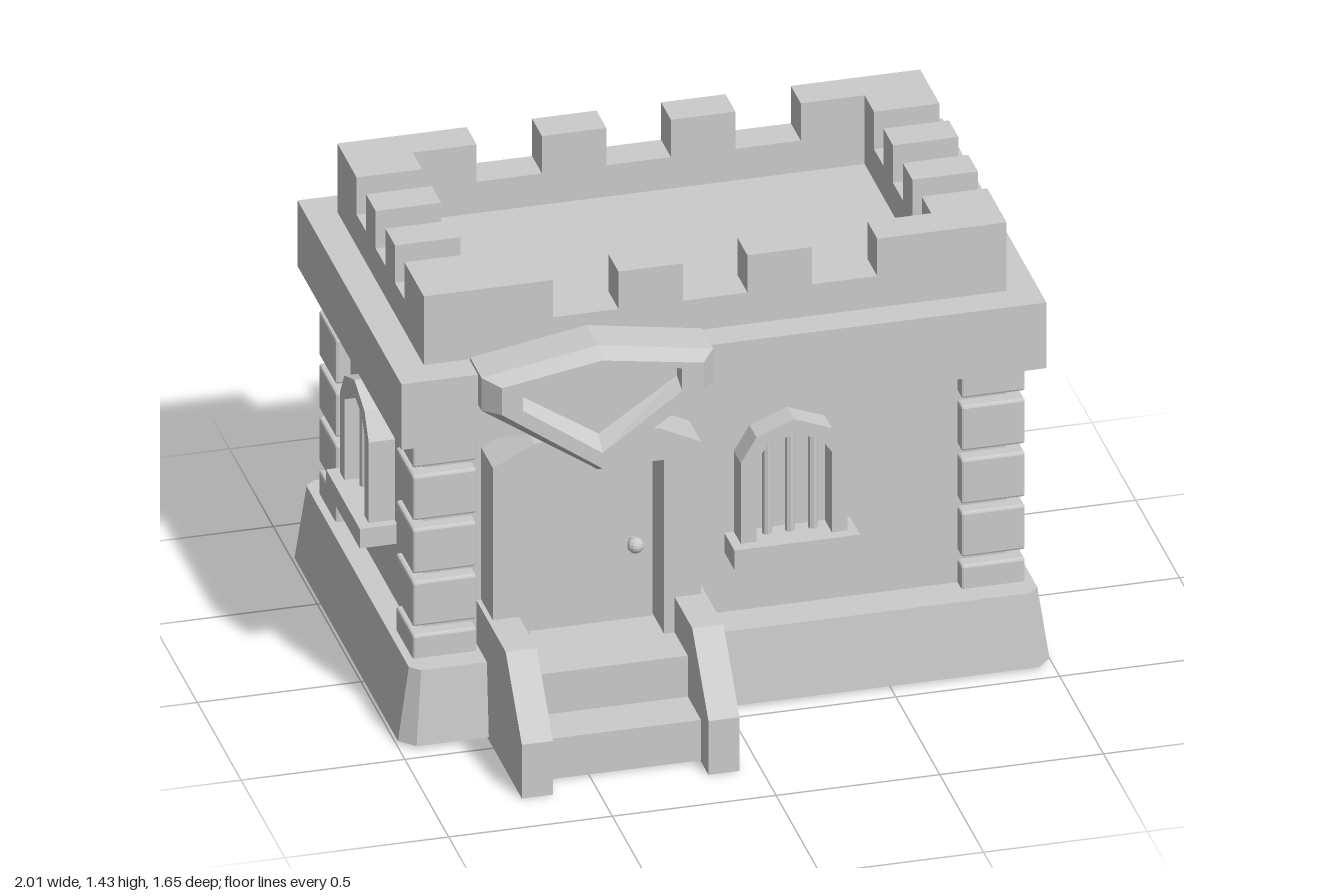
import * as THREE from 'three';
import { RoundedBoxGeometry } from 'three/addons/geometries/RoundedBoxGeometry.js';

const material = new THREE.MeshStandardMaterial({ color: 0xcccccc, flatShading: true });
const ZC = -0.187; // centre of the building in z

function add(parent, name, geometry, x = 0, y = 0, z = 0) {
  const mesh = new THREE.Mesh(geometry, material);
  mesh.name = name;
  mesh.position.set(x, y, z);
  parent.add(mesh);
  return mesh;
}

// Box given by its minimum and maximum corners
function box(parent, name, x0, x1, y0, y1, z0, z1) {
  return add(parent, name, new THREE.BoxGeometry(x1 - x0, y1 - y0, z1 - z0),
    (x0 + x1) / 2, (y0 + y1) / 2, (z0 + z1) / 2);
}

// Skin over counter-clockwise xy outlines placed at successive depths, capped at both ends
function loft(sections) {
  const pos = [];
  const rings = sections.map(({ pts, z }) => pts.map(([x, y]) => [x, y, z]));
  const tri = (a, b, c) => pos.push(...a, ...b, ...c);
  const n = rings[0].length;
  for (let r = 0; r < rings.length - 1; r++) {
    const a = rings[r], b = rings[r + 1];
    for (let i = 0; i < n; i++) {
      const j = (i + 1) % n;
      tri(a[i], a[j], b[j]);
      tri(a[i], b[j], b[i]);
    }
  }
  const first = rings[0], last = rings[rings.length - 1];
  for (let i = 1; i < n - 1; i++) {
    tri(first[0], first[i + 1], first[i]);
    tri(last[0], last[i], last[i + 1]);
  }
  const g = new THREE.BufferGeometry();
  g.setAttribute('position', new THREE.Float32BufferAttribute(pos, 3));
  g.computeVertexNormals();
  return g;
}

const polygon = (pts) => pts.map(([x, y]) => new THREE.Vector2(x, y));

function extrude(outline, hole, depth) {
  const shape = new THREE.Shape(polygon(outline));
  if (hole) shape.holes.push(new THREE.Path(polygon(hole)));
  return new THREE.ExtrudeGeometry(shape, { depth, bevelEnabled: false });
}

// Rectangle with cut corners
function cutRect(w, d, c) {
  return [[w, -d + c], [w, d - c], [w - c, d], [-w + c, d],
    [-w, d - c], [-w, -d + c], [-w + c, -d], [w - c, -d]];
}

// Upright outline with a five-point arched top
function arch(w, bottom, spring, w2, shoulder, top) {
  return [[-w, bottom], [w, bottom], [w, spring], [w2, shoulder],
    [0, top], [-w2, shoulder], [-w, spring]];
}

// Barred window; wall surface is at local z = 0
function makeWindow(name) {
  const g = new THREE.Group();
  g.name = name;
  add(g, 'windowFrame', extrude(
    arch(0.163, 0.48, 0.785, 0.115, 0.865, 0.91),
    arch(0.115, 0.5, 0.785, 0.08, 0.835, 0.86), 0.08));
  box(g, 'windowSill', -0.192, 0.192, 0.45, 0.515, -0.02, 0.115);
  for (const x of [-0.07, 0, 0.07]) {
    add(g, 'windowBar', new THREE.CylinderGeometry(0.015, 0.015, 0.36, 8), x, 0.67, 0.03);
  }
  return g;
}

// Shield outline relative to its centre line
function shieldOutline(w, shoulder, top, side, tip) {
  return [[0, tip], [w, side], [w, shoulder], [0, top], [-w, shoulder], [-w, side]];
}

export function createModel() {
  const model = new THREE.Group();
  model.name = 'castleHouse';

  // Sloping plinth, walls and cornice
  const plinth = add(model, 'plinth', loft([
    { pts: cutRect(0.995, 0.635, 0.045), z: 0.01 },
    { pts: cutRect(0.96, 0.613, 0.03), z: 0.25 },
  ]), 0, 0, ZC);
  plinth.rotation.x = -Math.PI / 2;
  box(model, 'walls', -0.89, 0.89, 0.24, 1.0, -0.68, 0.305);
  box(model, 'cornice', -0.985, 0.985, 0.985, 1.205, -0.78, 0.405);

  // Parapet ring around the flat roof
  const parapet = extrude(
    [[-0.89, -0.4925], [0.89, -0.4925], [0.89, 0.4925], [-0.89, 0.4925]],
    [[-0.69, -0.38], [0.69, -0.38], [0.69, 0.38], [-0.69, 0.38]], 0.11);
  add(model, 'parapet', parapet, 0, 1.2, ZC).rotation.x = -Math.PI / 2;

  // Corner merlons (L-shaped) and the pairs between them
  const corner = [[0.89, 0.4925], [0.495, 0.4925], [0.495, 0.38],
    [0.69, 0.38], [0.69, 0.273], [0.89, 0.273]];
  for (const sx of [-1, 1]) {
    for (const sz of [-1, 1]) {
      const pts = corner.map(([x, y]) => [x * sx, y * sz]);
      add(model, 'cornerMerlon', extrude(pts, null, 0.125), 0, 1.31, ZC)
        .rotation.x = -Math.PI / 2;
      add(model, 'longSideMerlon', new THREE.BoxGeometry(0.197, 0.125, 0.1125),
        sx * 0.197, 1.3725, ZC + sz * 0.43625);
      add(model, 'shortSideMerlon', new THREE.BoxGeometry(0.2, 0.125, 0.108),
        sx * 0.79, 1.3725, ZC + sz * 0.111);
    }
  }

  // Bevelled corner stones
  const courses = [[0.24, 0.327], [0.355, 0.505], [0.532, 0.682], [0.71, 0.86], [0.887, 0.99]];
  for (const sx of [-1, 1]) {
    for (const sz of [-1, 1]) {
      for (const [y0, y1] of courses) {
        add(model, 'cornerStone', new RoundedBoxGeometry(0.195, y1 - y0, 0.195, 1, 0.008),
          sx * 0.838, (y0 + y1) / 2, ZC + sz * 0.44);
      }
    }
  }

  // Windows: one in front, one on each side
  const front = makeWindow('frontWindow');
  front.position.set(0.22, 0, 0.305);
  model.add(front);
  for (const s of [-1, 1]) {
    const side = makeWindow(s > 0 ? 'leftWindow' : 'rightWindow');
    side.position.set(s * 0.89, 0, ZC);
    side.rotation.y = s * Math.PI / 2;
    model.add(side);
  }

  // Doorway
  const entrance = new THREE.Group();
  entrance.name = 'entrance';
  entrance.position.x = -0.397;
  model.add(entrance);
  add(entrance, 'doorFrame', extrude(
    arch(0.318, 0.2, 0.905, 0.19, 0.968, 0.984),
    [[-0.205, 0.27], [0.205, 0.27], [0.205, 0.86], [-0.205, 0.86]], 0.14), 0, 0, 0.3);
  box(entrance, 'door', -0.197, 0.197, 0.285, 0.85, 0.3, 0.335);
  const stem = add(entrance, 'knobStem', new THREE.CylinderGeometry(0.01, 0.01, 0.04, 8), 0.135, 0.55, 0.345);
  stem.rotation.x = Math.PI / 2;
  add(entrance, 'doorKnob', new THREE.SphereGeometry(0.025, 12, 8), 0.135, 0.55, 0.375);

  // Steps between sloping cheek walls
  box(entrance, 'upperStep', -0.24, 0.24, 0.005, 0.277, 0.3, 0.59);
  box(entrance, 'lowerStep', -0.24, 0.24, 0.005, 0.14, 0.3, 0.74);
  const cheek = extrude([[-0.15, 0], [-0.15, 0.395], [-0.64, 0.395], [-0.825, 0.18], [-0.825, 0]], null, 0.095);
  for (const x of [-0.285, 0.285]) {
    add(entrance, 'stepCheek', cheek, x - 0.0475, 0, 0).rotation.y = Math.PI / 2;
  }

  // Blank shield with bevelled edge and recessed face
  add(entrance, 'shield', loft([
    { pts: shieldOutline(0.354, 1.215, 1.275, 1.105, 0.86), z: 0.315 },
    { pts: shieldOutline(0.354, 1.215, 1.275, 1.105, 0.86), z: 0.445 },
    { pts: shieldOutline(0.308, 1.205, 1.255, 1.115, 0.893), z: 0.505 },
    { pts: shieldOutline(0.243, 1.195, 1.237, 1.12, 0.945), z: 0.505 },
    { pts: shieldOutline(0.24, 1.178, 1.22, 1.145, 0.985), z: 0.455 },
  ]));

  return model;
}
